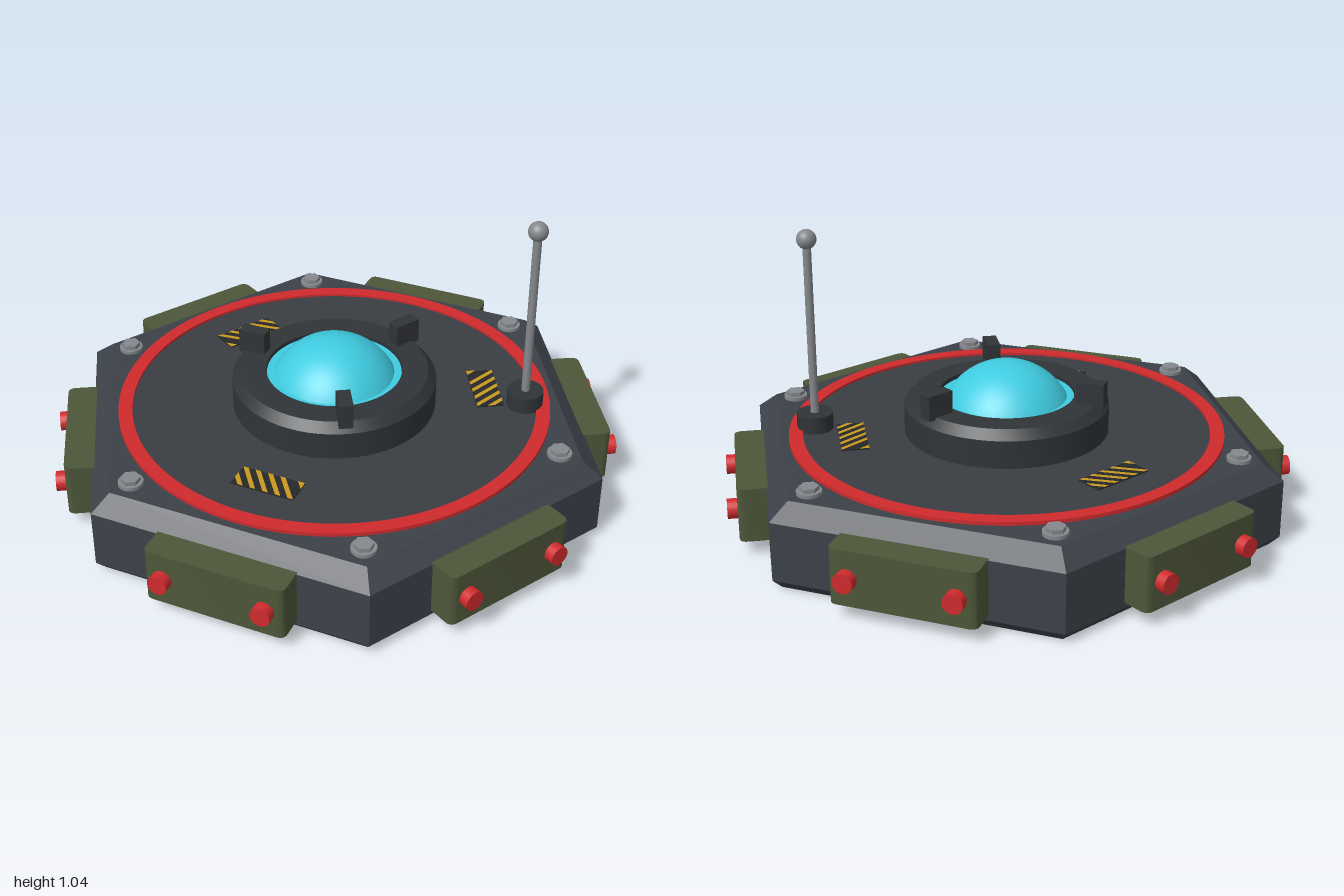
import * as THREE from 'three';
import { toCreasedNormals } from 'three/addons/utils/BufferGeometryUtils.js';

const mat = (name, color) => {
  const m = new THREE.MeshStandardMaterial({ color });
  m.name = name;
  return m;
};

export function createModel() {
  const root = new THREE.Group();
  root.name = 'hexagonalDevice';
  const armour = mat('slate armour', 0x3c4149);
  const deckMat = mat('deck grey', 0x3a3e43);
  const dark = mat('dark housing', 0x303438);
  const black = mat('hazard black', 0x25272a);
  const olive = mat('olive green', 0x4d5639);
  const red = mat('signal red', 0xd02b2d);
  const steel = mat('steel grey', 0x85888c);
  const cyan = mat('cyan glass', 0x3fcbe0);
  const yellow = mat('hazard yellow', 0xc8981f);

  const add = (parent, name, geo, material, x = 0, y = 0, z = 0) => {
    const mesh = new THREE.Mesh(geo, material);
    mesh.name = name;
    mesh.position.set(x, y, z);
    parent.add(mesh);
    return mesh;
  };
  // Turned part from [radius, height] pairs, listed from the bottom up
  const lathe = (pts, sides = 64, start = 0, crease = 0.4) => toCreasedNormals(
    new THREE.LatheGeometry(pts.map(p => new THREE.Vector2(p[0], p[1])), sides, start), crease);
  const pivot = (name, angle) => {
    const g = new THREE.Group();
    g.name = name;
    g.rotation.y = angle;
    root.add(g);
    return g;
  };

  // Chamfered hexagonal body with corners on the x axis
  add(root, 'hexBody', lathe(
    [[0, 0], [0.965, 0], [1, 0.035], [1, 0.245], [0.925, 0.3], [0, 0.3]], 6, Math.PI / 6, 0.1), armour);

  // Deck disc and red ring
  add(root, 'deckDisc', lathe([[0.73, 0.298], [0.73, 0.304], [0, 0.304]]), deckMat);
  add(root, 'redRing', lathe(
    [[0.725, 0.298], [0.775, 0.298], [0.775, 0.313], [0.725, 0.313], [0.725, 0.298]], 96), red);

  // Central collar, glass rim and dome
  add(root, 'collar', lathe(
    [[0.365, 0.3], [0.365, 0.405], [0.335, 0.437], [0.243, 0.437], [0.243, 0.3]]), dark);
  add(root, 'glassRim', lathe([[0.241, 0.3], [0.241, 0.424], [0.2, 0.424]]), cyan);
  const R = 0.246, dome = new THREE.SphereGeometry(R, 48, 20, 0, Math.PI * 2, 0, Math.acos(0.116 / R));
  add(root, 'dome', dome, cyan, 0, 0.55 - R, 0);

  // Three clamp blocks on the collar
  for (let i = 0; i < 3; i++) {
    const g = pivot('clamp', i * Math.PI * 2 / 3);
    add(g, 'clampBlock', new THREE.BoxGeometry(0.1, 0.09, 0.05), dark, 0.315, 0.473, 0);
  }

  // Side pods with rounded vertical edges, each with two red buttons
  const w = 0.25, d0 = 0.855, d1 = 0.965, r = 0.028;
  const pod = new THREE.Shape();
  pod.moveTo(-w, -d0);
  pod.lineTo(-w, -d1 + r);
  pod.quadraticCurveTo(-w, -d1, -w + r, -d1);
  pod.lineTo(w - r, -d1);
  pod.quadraticCurveTo(w, -d1, w, -d1 + r);
  pod.lineTo(w, -d0);
  pod.closePath();
  const podGeo = toCreasedNormals(new THREE.ExtrudeGeometry(pod,
    { depth: 0.195, bevelEnabled: false, curveSegments: 5 }).rotateX(-Math.PI / 2), 0.5);
  const buttonGeo = new THREE.CylinderGeometry(0.035, 0.035, 0.05, 20).rotateX(Math.PI / 2);
  for (let i = 0; i < 6; i++) {
    const g = pivot('sidePod', i * Math.PI / 3);
    add(g, 'podCase', podGeo, olive, 0, 0.055, 0);
    for (const s of [-1, 1]) add(g, 'button', buttonGeo, red, s * 0.183, 0.152, 0.975);
  }

  // Corner bolts: washer and hex head
  const washer = new THREE.CylinderGeometry(0.043, 0.043, 0.014, 20);
  const head = toCreasedNormals(new THREE.CylinderGeometry(0.034, 0.034, 0.026, 6), 0.1);
  for (let i = 0; i < 6; i++) {
    const g = pivot('cornerBolt', i * Math.PI / 3);
    add(g, 'washer', washer, steel, 0.843, 0.306, 0);
    add(g, 'boltHead', head, steel, 0.843, 0.315, 0);
  }

  // Hazard plates: black plate with slanted yellow stripes
  const hw = 0.115, hd = 0.048;
  const polygons = [];
  for (let i = 0; i < 4; i++) {
    const x = -hw + i * 0.046;
    polygons.push([[x, hd], [x + 0.02, hd], [x + 0.092, -hd], [x + 0.072, -hd]]);
  }
  polygons.push([[-hw, -hd], [-hw, -hd + 0.036], [-hw + 0.027, -hd]]);
  polygons.push([[hw, hd], [hw - 0.046, hd], [hw, hd - 0.061], [hw, hd - 0.034], [hw - 0.026, hd]].slice(1));
  const stripes = new THREE.ShapeGeometry(polygons.map(
    p => new THREE.Shape(p.map(q => new THREE.Vector2(q[0], q[1]))))).rotateX(-Math.PI / 2);
  for (let i = 0; i < 3; i++) {
    const g = pivot('hazardPlate', i * Math.PI * 2 / 3);
    add(g, 'plate', new THREE.BoxGeometry(hw * 2, 0.006, hd * 2), black, 0, 0.305, -0.552);
    add(g, 'stripes', stripes, yellow, 0, 0.3095, -0.552);
  }

  // Antenna
  const antenna = new THREE.Group();
  antenna.name = 'antenna';
  antenna.position.set(0.53, 0, 0.433);
  root.add(antenna);
  add(antenna, 'antennaBase', new THREE.CylinderGeometry(0.065, 0.065, 0.065, 28), dark, 0, 0.333, 0);
  add(antenna, 'antennaRod', new THREE.CylinderGeometry(0.015, 0.015, 0.64, 16), steel, 0, 0.68, 0);
  add(antenna, 'antennaBall', new THREE.SphereGeometry(0.035, 24, 16), steel, 0, 1.004, 0);

  return root;
}
